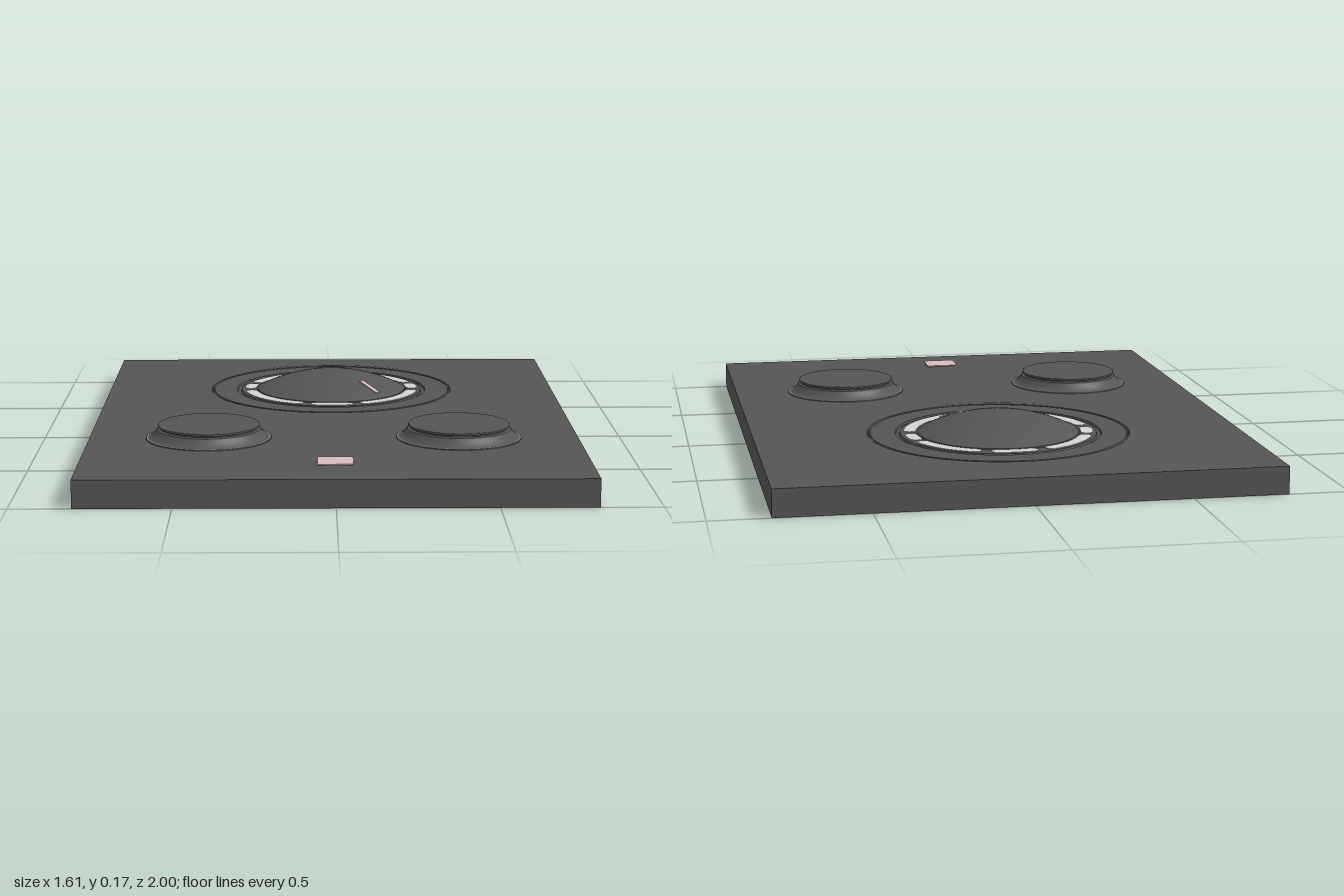
import * as THREE from 'three';
import { toCreasedNormals } from 'three/addons/utils/BufferGeometryUtils.js';

const mat = (name, color) => {
  const m = new THREE.MeshStandardMaterial({ color });
  m.name = name;
  return m;
};

export function createModel() {
  const model = new THREE.Group();
  model.name = 'controlPanel';
  const charcoal = mat('charcoal', 0x555555);
  const lightGrey = mat('lightGrey', 0xd2d2d2);
  const palePink = mat('palePink', 0xd8bcbc);
  const midGrey = mat('midGrey', 0x8a8a8a);
  const DIAL_Z = -0.385, TOP = 0.09, BORE = 0.53;

  const add = (name, geometry, material, x = 0, y = 0, z = 0) => {
    const mesh = new THREE.Mesh(geometry, material);
    mesh.name = name;
    mesh.position.set(x, y, z);
    model.add(mesh);
    return mesh;
  };
  // Profiles run from rim to axis for upper faces, axis to rim for lower faces
  const turned = (points) => toCreasedNormals(
    new THREE.LatheGeometry(points.map(([r, y]) => new THREE.Vector2(r, y)), 96), Math.PI / 6);
  const dome = (radius, base, rise, steps = 16) => Array.from({ length: steps + 1 }, (_, i) => {
    const t = 1 - i / steps;
    return [radius * t, base + rise * (1 - t * t)];
  });
  const hairline = (name, radius, x, y, z) => {
    const g = new THREE.RingGeometry(radius - 0.0015, radius + 0.0015, 96).rotateX(-Math.PI / 2);
    add(name, g, midGrey, x, y, z);
  };

  // Slab with an opening filled by the dial surround
  const slab = new THREE.Shape([[-0.805, -1], [0.805, -1], [0.805, 1], [-0.805, 1]]
    .map(([x, y]) => new THREE.Vector2(x, y)));
  const bore = new THREE.Path();
  bore.absarc(0, -DIAL_Z, BORE, 0, Math.PI * 2, true);
  slab.holes.push(bore);
  add('slab', new THREE.ExtrudeGeometry(slab, { depth: TOP, bevelEnabled: false, curveSegments: 48 })
    .rotateX(-Math.PI / 2), charcoal);

  // Gently swollen surround with fine grooves
  add('dialSurround', turned([
    [BORE, TOP], [0.5, 0.0915], [0.465, 0.0955], [0.434, 0.097], [0.432, 0.092], [0.426, 0.092],
    [0.424, 0.097], [0.341, 0.097], [0.339, 0.09], [0.327, 0.09], [0.325, 0.097],
    [0.272, 0.097], [0.268, 0.09], [0, 0.09],
  ]), charcoal, 0, 0, DIAL_Z);
  hairline('surroundHairline', 0.429, 0, 0.0935, DIAL_Z);

  // Shallow hollow on the underside
  add('undersideHollow', turned([
    [0, 0.034], [0.08, 0.033], [0.13, 0.028], [0.16, 0.018], [0.19, 0.008], [0.23, 0.002],
    [0.28, 0], [BORE, 0],
  ]), charcoal, 0, 0, DIAL_Z);

  // Domed dial and its pointer
  add('dial', turned([[0.267, 0.09], ...dome(0.267, 0.1, 0.065, 24)]), charcoal, 0, 0, DIAL_Z);
  const pointer = new THREE.Group();
  pointer.name = 'dialPointer';
  pointer.position.set(0, 0, DIAL_Z);
  pointer.rotation.y = -Math.PI * 0.26;
  const mark = new THREE.Mesh(new THREE.BoxGeometry(0.09, 0.006, 0.018), palePink);
  mark.name = 'pointerMark';
  mark.position.set(0.197, 0.1295, 0);
  mark.rotation.z = -Math.atan(2 * 0.065 * 0.197 / (0.267 * 0.267));
  pointer.add(mark);
  model.add(pointer);

  // Rounded light segments, angles in degrees clockwise from the back
  const RI = 0.272, RO = 0.314, RM = (RI + RO) / 2, CAP = (RO - RI) / 2;
  const segment = (from, to) => {
    const inset = Math.asin(CAP / RM);
    const a = Math.PI / 2 - THREE.MathUtils.degToRad(to) + inset;
    const b = Math.PI / 2 - THREE.MathUtils.degToRad(from) - inset;
    const s = new THREE.Shape();
    s.absarc(0, 0, RO, a, b, false);
    s.absarc(RM * Math.cos(b), RM * Math.sin(b), CAP, b, b + Math.PI, false);
    s.absarc(0, 0, RI, b, a, true);
    s.absarc(RM * Math.cos(a), RM * Math.sin(a), CAP, a + Math.PI, a + 2 * Math.PI, false);
    add('lightSegment', new THREE.ExtrudeGeometry(s, { depth: 0.004, bevelEnabled: false, curveSegments: 16 })
      .rotateX(-Math.PI / 2), lightGrey, 0, 0.095, DIAL_Z);
  };
  segment(-15, 15);
  segment(165, 195);
  for (const [from, to] of [[21, 70], [73, 92], [97, 160]]) {
    segment(from, to);
    segment(-to, -from);
  }

  // Pair of push buttons with flared skirts and flat caps
  for (const side of [-1, 1]) {
    const x = side * 0.412, z = 0.405;
    add('button', turned([
      [0.208, 0.088], [0.206, 0.0925], [0.198, 0.0925], [0.188, 0.098], [0.178, 0.108],
      [0.17, 0.121], [0.161, 0.124], [0.161, 0.127], [0.167, 0.129], [0.167, 0.135],
      [0.164, 0.137], [0, 0.137],
    ]), charcoal, x, 0, z);
    hairline('buttonHairline', 0.202, x, 0.0932, z);
  }

  // Small domed indicator with a square window
  add('indicatorDome', turned(dome(0.085, 0.088, 0.013)), charcoal, 0, 0, 0.815);
  add('indicatorWindow', new THREE.BoxGeometry(0.112, 0.004, 0.104), palePink, 0, 0.1005, 0.8);

  return model;
}
